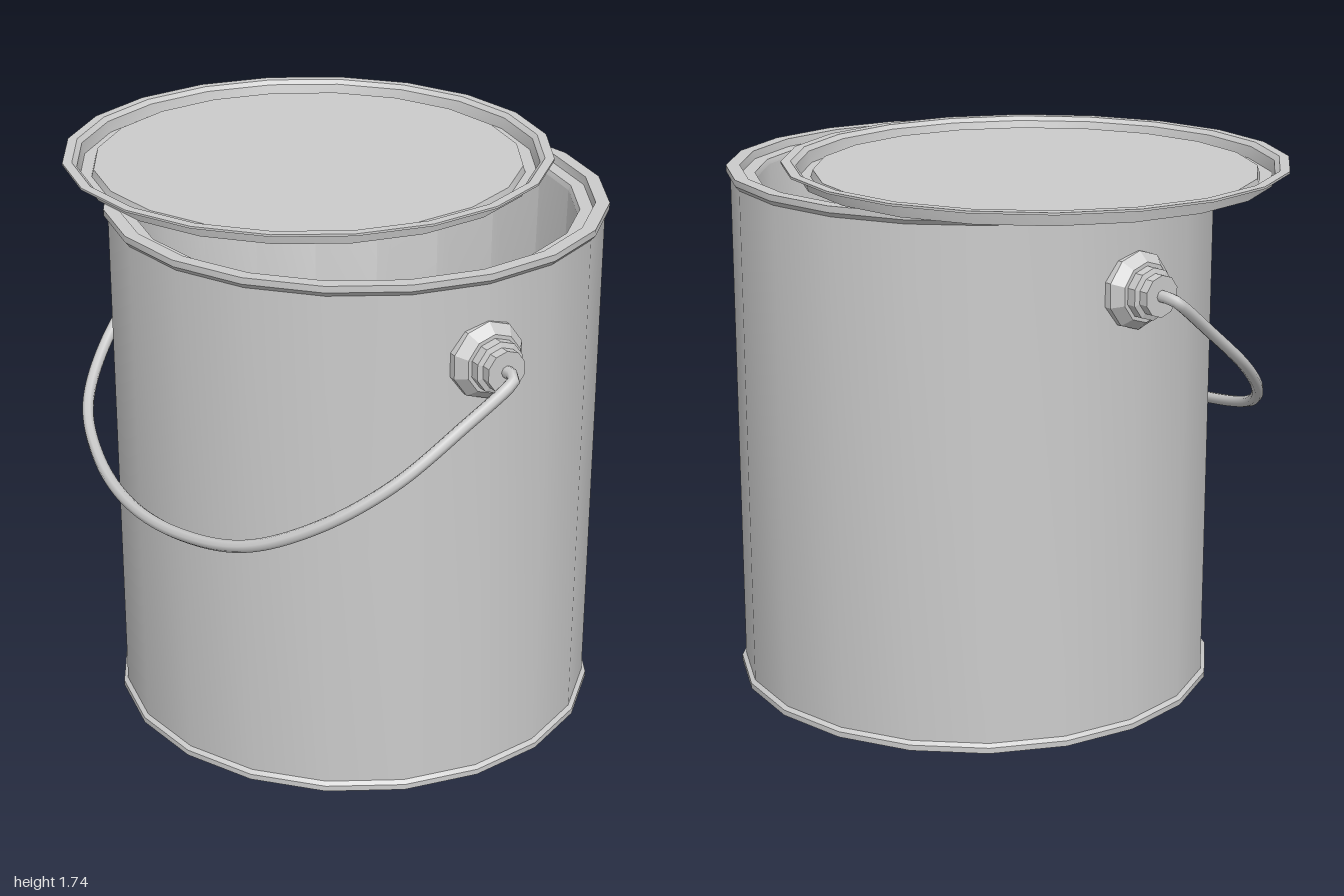
import * as THREE from 'three';
import { toCreasedNormals } from 'three/addons/utils/BufferGeometryUtils.js';

const material = new THREE.MeshStandardMaterial({ color: 0xcccccc });
const thinMaterial = new THREE.MeshStandardMaterial({ color: 0xcccccc, side: THREE.DoubleSide });
const pivotMaterial = new THREE.MeshStandardMaterial({ color: 0xcccccc, flatShading: true });

// Turns a list of [radius, height] pairs into a lathed geometry
function lathe(profile, sides) {
  return new THREE.LatheGeometry(profile.map(([r, y]) => new THREE.Vector2(r, y)), sides);
}

function addMesh(parent, name, geometry, mat) {
  const mesh = new THREE.Mesh(geometry, mat);
  mesh.name = name;
  parent.add(mesh);
  return mesh;
}

export function createModel() {
  const model = new THREE.Group();
  model.name = 'paintCan';

  // Can: rolled bottom rim, wall, flared top rim with a lid groove, open inside
  const body = addMesh(model, 'canBody', toCreasedNormals(lathe([
    [0, 0], [0.78, 0], [0.78, 0.018], [0.767, 0.028],
    [0.767, 1.645], [0.78, 1.66], [0.78, 1.68],
    [0.737, 1.68], [0.732, 1.655], [0.69, 1.655], [0.683, 1.64],
    [0.65, 0.03], [0, 0.03],
  ], 20), 0.5), material);
  body.position.set(0.05, 0, 0.06);
  body.rotation.y = 0.035;

  // Lid: flange, pressed groove and flat panel, resting off centre on the can
  const lid = addMesh(model, 'lid', toCreasedNormals(lathe([
    [0, 1.708], [0.683, 1.708], [0.69, 1.686], [0.727, 1.686],
    [0.735, 1.722], [0.75, 1.735], [0.78, 1.735], [0.78, 1.728],
  ], 20), 0.5), thinMaterial);
  lid.position.set(-0.055, 0, -0.22);
  lid.rotation.y = 0.025;

  // Handle group: its local z axis runs through both pivots
  const handle = new THREE.Group();
  handle.name = 'handle';
  handle.position.set(0.05, 1.412, 0.06);
  handle.rotation.y = THREE.MathUtils.degToRad(20);
  model.add(handle);

  // Stepped pivots on opposite sides of the wall
  const pivotShape = lathe([
    [0, 0.72], [0.12, 0.72], [0.12, 0.772], [0.092, 0.805], [0.08, 0.805],
    [0.08, 0.835], [0.064, 0.84], [0.064, 0.87], [0, 0.87],
  ], 10);
  for (const side of [1, -1]) {
    const pivot = addMesh(handle, side > 0 ? 'frontPivot' : 'backPivot', pivotShape, pivotMaterial);
    pivot.rotation.x = side * Math.PI / 2;
  }

  // Wire bail: half of its path as [along axis, swing out], mirrored for the other half
  const half = [
    [0.84, 0], [0.9, 0], [0.918, 0.008], [0.922, 0.03], [0.905, 0.15],
    [0.862, 0.36], [0.75, 0.54], [0.57, 0.685], [0.3, 0.77],
  ];
  const drop = 0.762; // fall per unit of swing
  const path = [
    ...half,
    [0, 0.8],
    ...half.map(([s, u]) => [-s, u]).reverse(),
  ].map(([s, u]) => new THREE.Vector3(-u, -u * drop, s));
  const curve = new THREE.CatmullRomCurve3(path, false, 'centripetal');
  addMesh(handle, 'wireHandle', new THREE.TubeGeometry(curve, 120, 0.019, 8, false), material);

  return model;
}
